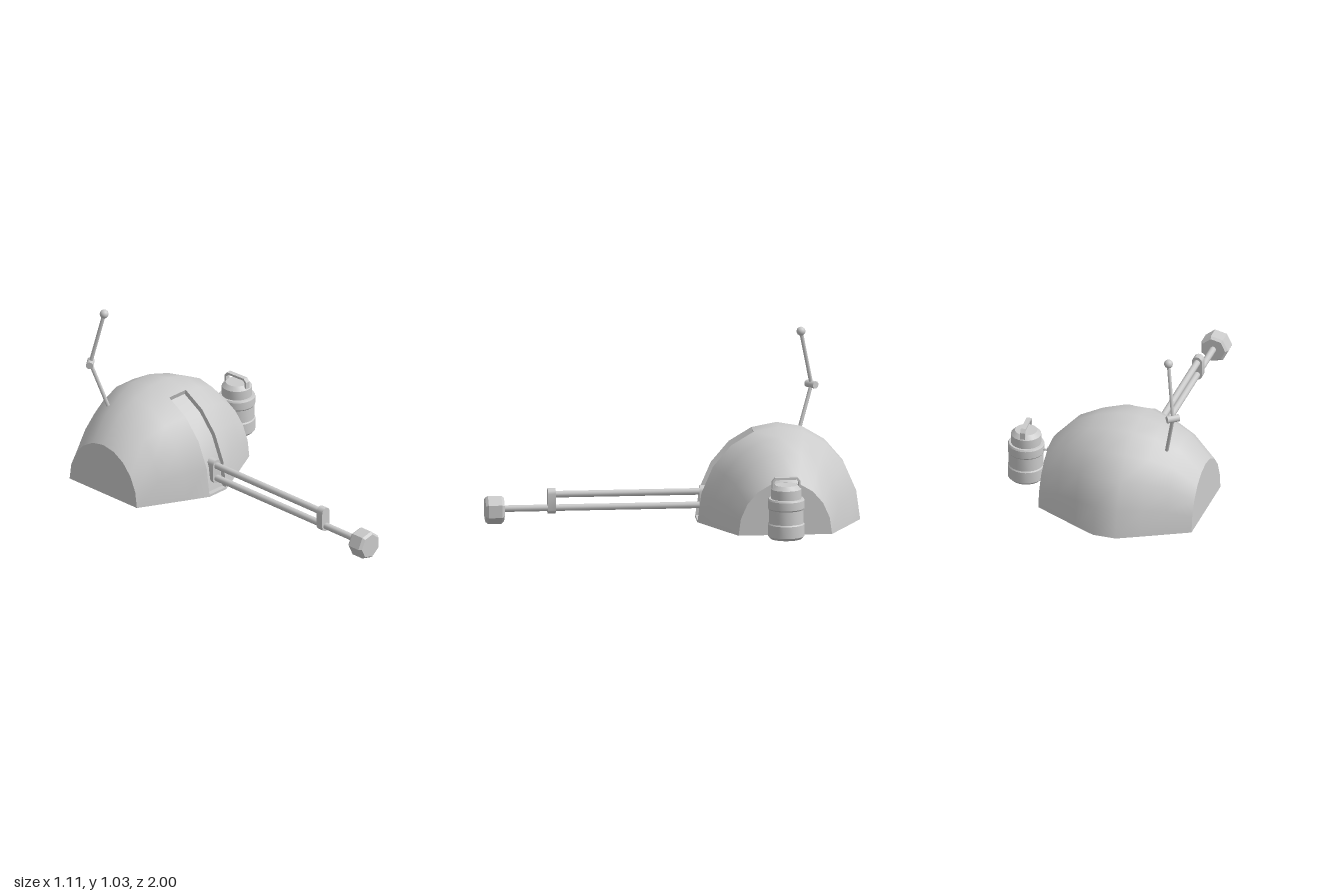
import * as THREE from 'three';
import { toCreasedNormals } from 'three/addons/utils/BufferGeometryUtils.js';

const material = new THREE.MeshStandardMaterial({ color: 0xcccccc });
const V = (x, y, z) => new THREE.Vector3(x, y, z);

function add(parent, name, geometry, x = 0, y = 0, z = 0) {
  const mesh = new THREE.Mesh(geometry, material);
  mesh.name = name;
  mesh.position.set(x, y, z);
  parent.add(mesh);
  return mesh;
}

// Cylinder between two points
function rod(parent, name, a, b, radius, sides = 10) {
  const mesh = add(parent, name, new THREE.CylinderGeometry(radius, radius, a.distanceTo(b), sides));
  mesh.position.copy(a).add(b).multiplyScalar(0.5);
  mesh.quaternion.setFromUnitVectors(V(0, 1, 0), b.clone().sub(a).normalize());
  return mesh;
}

function lathe(profile, sides, crease = 0.5) {
  const points = profile.map(([r, y]) => new THREE.Vector2(r, y));
  return toCreasedNormals(new THREE.LatheGeometry(points, sides), crease);
}

// Hexagonal-plan dome made of half-ellipse sections along x, with a sunken slot in front
function domeGeometry() {
  const baseY = 0.047, midZ = -0.565, depth = 0.028, steps = 10;
  // x, half depth, height of each section
  const sections = [
    [-0.555, 0.25, 0.288], [-0.432, 0.313, 0.42], [-0.31, 0.375, 0.478], [-0.19, 0.435, 0.511],
    [-0.064, 0.435, 0.511], [0.058, 0.375, 0.478], [0.18, 0.313, 0.42], [0.302, 0.25, 0.288],
  ];
  const positions = [];
  const tri = (...pts) => pts.forEach((p) => positions.push(p.x, p.y, p.z));
  const quad = (a, b, c, d) => { tri(a, b, c); tri(a, c, d); };
  const point = ([x, a, b], t, inset = 0) =>
    V(x, baseY + (b - inset) * Math.sin(t), midZ + (a - inset) * Math.cos(t));
  const angle = (j) => (j / steps) * Math.PI;
  const lip = 0.025, slotRows = 4;

  for (let i = 0; i < sections.length - 1; i++) {
    const s0 = sections[i], s1 = sections[i + 1];
    const patch = (t0, t1, inset) =>
      quad(point(s0, t0, inset), point(s1, t0, inset), point(s1, t1, inset), point(s0, t1, inset));
    for (let j = 0; j < steps; j++) {
      if (i !== 3 || j >= slotRows) {
        patch(angle(j), angle(j + 1));
        continue;
      }
      // Slot floor and side walls
      const t0 = j ? angle(j) : lip, t1 = angle(j + 1);
      patch(t0, t1, depth);
      quad(point(s0, t0), point(s0, t0, depth), point(s0, t1, depth), point(s0, t1));
      quad(point(s1, t1), point(s1, t1, depth), point(s1, t0, depth), point(s1, t0));
    }
    if (i === 3) {
      // Slot sill, lower and upper ends
      const top = angle(slotRows);
      patch(0, lip);
      quad(point(s0, lip), point(s1, lip), point(s1, lip, depth), point(s0, lip, depth));
      quad(point(s0, top, depth), point(s1, top, depth), point(s1, top), point(s0, top));
    }
    // Underside
    quad(point(s0, 0), point(s0, Math.PI), point(s1, Math.PI), point(s1, 0));
  }
  // Flat side walls
  const left = sections[7], right = sections[0];
  for (let j = 0; j < steps; j++) {
    tri(V(left[0], baseY, midZ), point(left, angle(j + 1)), point(left, angle(j)));
    tri(V(right[0], baseY, midZ), point(right, angle(j)), point(right, angle(j + 1)));
  }
  const geometry = new THREE.BufferGeometry();
  geometry.setAttribute('position', new THREE.Float32BufferAttribute(positions, 3));
  return toCreasedNormals(geometry, 0.62);
}

// Rounded plate that clasps both arm tubes
function claspGeometry(depth) {
  const shape = new THREE.Shape();
  shape.absarc(0, 0.208, 0.028, 0, Math.PI, false);
  shape.absarc(0, 0.128, 0.028, Math.PI, Math.PI * 2, false);
  shape.closePath();
  return toCreasedNormals(
    new THREE.ExtrudeGeometry(shape, { depth, bevelEnabled: false, curveSegments: 6 }), 0.6);
}

function makeArm() {
  const arm = new THREE.Group();
  arm.name = 'arm';
  const x = -0.12;
  rod(arm, 'upperTube', V(x, 0.203, -0.19), V(x, 0.203, 0.64), 0.018);
  rod(arm, 'lowerTube', V(x, 0.13, -0.19), V(x, 0.13, 0.92), 0.018);
  add(arm, 'rearClasp', claspGeometry(0.05), x, 0, -0.195);
  add(arm, 'frontClasp', claspGeometry(0.042), x, 0, 0.624);
  // Seven-sided end with bevelled rims
  const head = lathe([[0, 0], [0.066, 0], [0.078, 0.014], [0.078, 0.086], [0.066, 0.1], [0, 0.1]], 7, 0.3);
  head.rotateY(-Math.PI / 2).rotateX(Math.PI / 2);
  add(arm, 'armHead', head, -0.122, 0.127, 0.9);
  return arm;
}

function makeAntenna() {
  const antenna = new THREE.Group();
  antenna.name = 'antenna';
  const foot = V(-0.38, 0.46, -0.7), elbow = V(-0.438, 0.707, -0.775), tip = V(-0.394, 1.005, -0.715);
  rod(antenna, 'lowerRod', foot, elbow, 0.01, 8);
  rod(antenna, 'upperRod', elbow, tip, 0.01, 8);
  const axis = V(0.79, 0, -0.61).multiplyScalar(0.034);
  rod(antenna, 'elbowJoint', elbow.clone().sub(axis), elbow.clone().add(axis), 0.02, 12);
  add(antenna, 'antennaBall', new THREE.SphereGeometry(0.024, 16, 12), tip.x, tip.y, tip.z);
  return antenna;
}

function makeCanister() {
  const canister = new THREE.Group();
  canister.name = 'canister';
  const x = 0.454, z = -0.555;
  add(canister, 'canisterBody', lathe([
    [0, 0.062], [0.085, 0.062], [0.098, 0.076], [0.098, 0.14], [0.093, 0.147], [0.093, 0.22],
    [0.098, 0.227], [0.098, 0.27], [0.093, 0.279], [0.081, 0.279], [0.081, 0.33], [0.06, 0.352], [0, 0.352],
  ], 24), x, 0, z);

  // Flat carrying handle, an arched strip
  const arch = new THREE.Shape();
  const path = [[-0.076, 0.32], [-0.076, 0.372], [-0.06, 0.392], [0.06, 0.392], [0.076, 0.372], [0.076, 0.32],
    [0.066, 0.32], [0.066, 0.366], [0.055, 0.38], [-0.055, 0.38], [-0.066, 0.366], [-0.066, 0.32]];
  arch.setFromPoints(path.map(([u, v]) => new THREE.Vector2(u, v)));
  const strip = new THREE.ExtrudeGeometry(arch, { depth: 0.026, bevelEnabled: false });
  strip.translate(0, 0, -0.013);
  add(canister, 'handle', strip, x, 0, z).rotation.y = Math.PI / 2 + 0.05;

  // Wall mount
  rod(canister, 'mountBar', V(0.323, 0.093, z), V(0.323, 0.265, z), 0.014);
  for (const y of [0.119, 0.249]) rod(canister, 'mountPeg', V(0.295, y, z), V(0.37, y, z), 0.006, 8);
  return canister;
}

export function createModel() {
  const model = new THREE.Group();
  model.name = 'domeCraft';
  add(model, 'dome', domeGeometry());
  add(model, 'foot', lathe([[0, 0], [0.127, 0], [0.166, 0.018], [0.166, 0.036], [0.158, 0.047], [0, 0.047]], 24),
    -0.139, 0, -0.542);
  model.add(makeArm(), makeAntenna(), makeCanister());
  return model;
}
